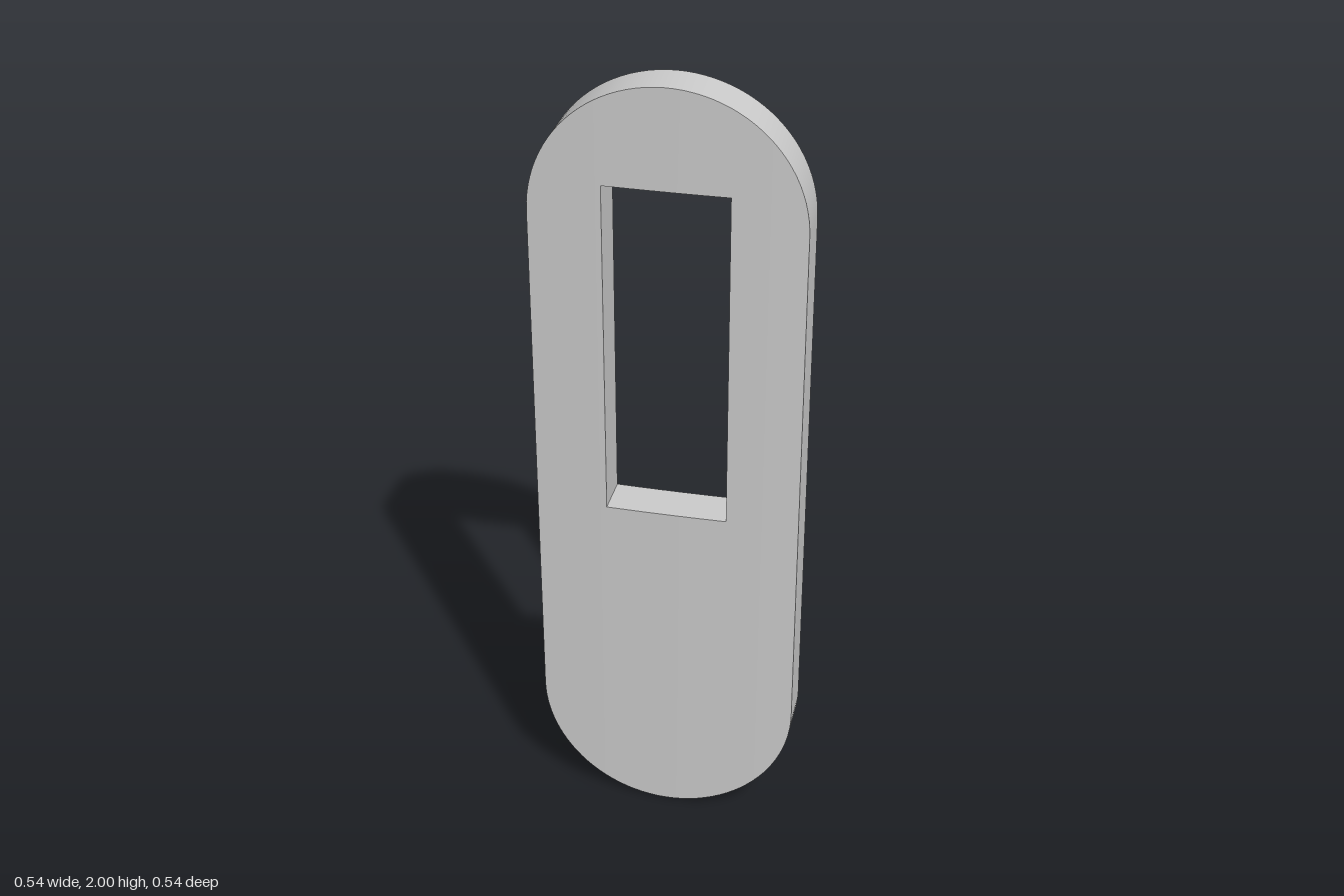
import * as THREE from 'three';
import { toCreasedNormals } from 'three/addons/utils/BufferGeometryUtils.js';

const R = 0.326;          // half width and end radius
const H = 2;              // height
const HALF = 0.054;       // half thickness
const BOW = 0.0085;       // slight forward bow across the width
const HOLE = { u: 0.149, y0: 0.9, y1: 1.755 };

const bow = (u) => BOW * (1 - (u / R) ** 2);
const front = (u, y) => [u, y, bow(u) + HALF];
const back = (u, y) => [u, y, bow(u) - HALF];

function plateGeometry() {
  const pos = [];
  const quad = (a, b, c, d) => pos.push(...a, ...b, ...c, ...a, ...c, ...d);

  // front and back skin of one strip, given its corners counter-clockwise
  const skin = (...c) => {
    quad(...c.map(([u, y]) => front(u, y)));
    quad(...c.map(([u, y]) => back(u, y)).reverse());
  };
  // rim wall along an edge that has the solid on its left
  const wall = (u0, y0, u1, y1) =>
    quad(front(u0, y0), back(u0, y0), back(u1, y1), front(u1, y1));

  // columns across the width, denser towards the rounded sides
  const cols = [-HOLE.u, HOLE.u];
  const N = 48;
  for (let i = 0; i <= N; i++) cols.push(-R * Math.cos((Math.PI * i) / N));
  cols.sort((a, b) => a - b);
  const low = (u) => R - Math.sqrt(Math.max(0, R * R - u * u));
  const high = (u) => H - low(u);

  for (let i = 0; i < cols.length - 1; i++) {
    const a = cols[i], b = cols[i + 1];
    wall(a, low(a), b, low(b));
    wall(b, high(b), a, high(a));
    if (Math.abs((a + b) / 2) < HOLE.u) {
      skin([a, low(a)], [b, low(b)], [b, HOLE.y0], [a, HOLE.y0]);
      skin([a, HOLE.y1], [b, HOLE.y1], [b, high(b)], [a, high(a)]);
      wall(b, HOLE.y0, a, HOLE.y0);
      wall(a, HOLE.y1, b, HOLE.y1);
    } else {
      skin([a, low(a)], [b, low(b)], [b, high(b)], [a, high(a)]);
    }
  }
  // straight sides of the plate and of the slot
  wall(R, R, R, H - R);
  wall(-R, H - R, -R, R);
  wall(-HOLE.u, HOLE.y0, -HOLE.u, HOLE.y1);
  wall(HOLE.u, HOLE.y1, HOLE.u, HOLE.y0);

  const geo = new THREE.BufferGeometry();
  geo.setAttribute('position', new THREE.Float32BufferAttribute(pos, 3));
  return toCreasedNormals(geo, Math.PI / 6);
}

export function createModel() {
  const group = new THREE.Group();
  group.name = 'slottedPlate';
  const plate = new THREE.Mesh(
    plateGeometry(),
    new THREE.MeshStandardMaterial({ color: 0xcccccc })
  );
  plate.name = 'plate';
  // the plate stands diagonally
  plate.rotation.y = -Math.PI / 4;
  group.add(plate);
  return group;
}
